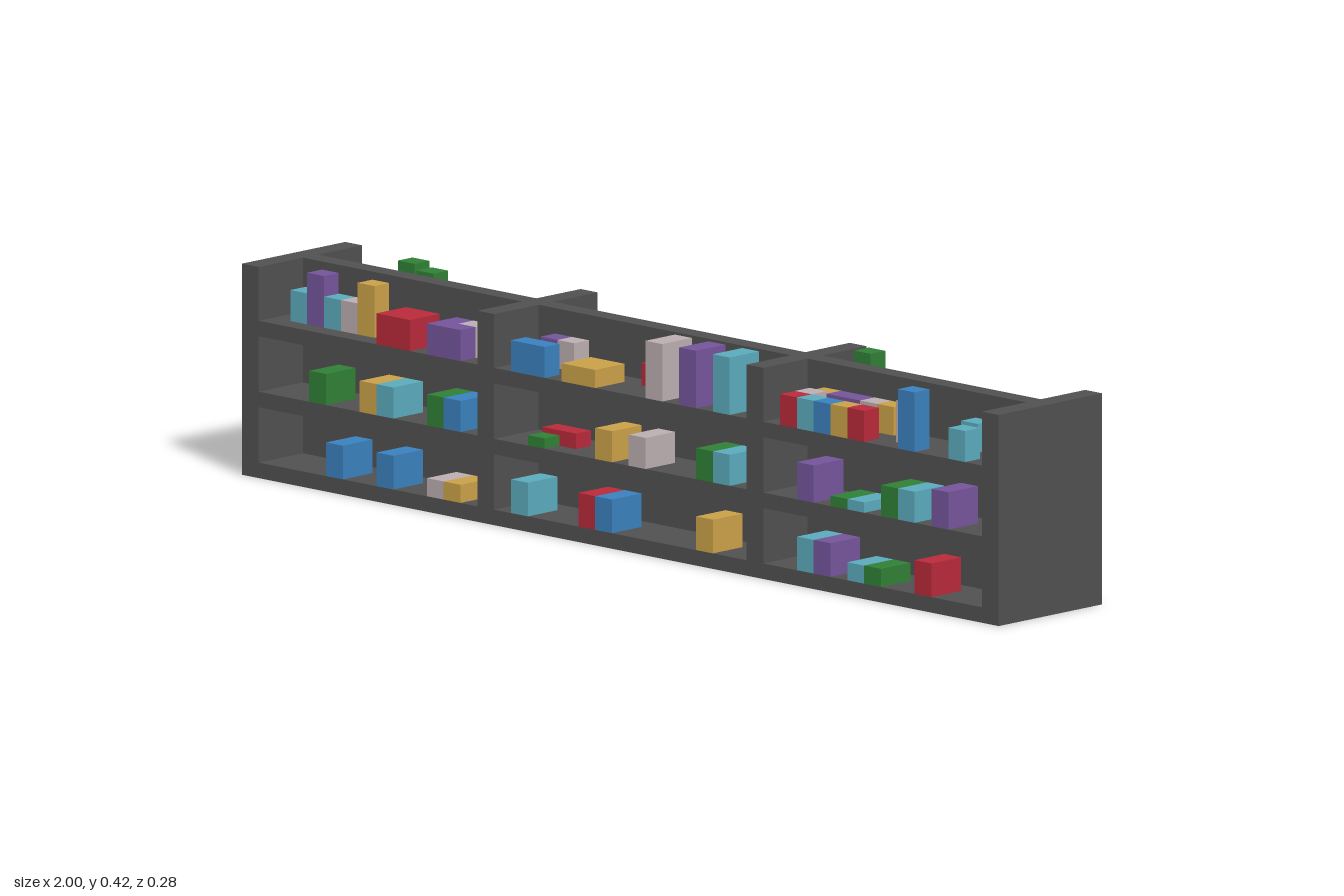
import * as THREE from 'three';

// Grid: 45 columns along x (centred on 0), 7 rows along z (row 0 is the spine wall)
const COL = 2 / 45, ROW = 0.04, HEIGHT = 0.408, BOARD = 0.03, LEVEL = 0.137;
const FRONT = 1, BACK = -1;

const mat = (color) => new THREE.MeshStandardMaterial({ color });
const frameMat = mat(0x505050);
const paint = {
  red: mat(0xb82a3a), blue: mat(0x3a80bd), teal: mat(0x5aaabb), gold: mat(0xc9a048),
  green: mat(0x2f7f35), purple: mat(0x74549a), white: mat(0xbaadb0),
};

function addBox(parent, name, size, x, bottom, z, material) {
  const mesh = new THREE.Mesh(new THREE.BoxGeometry(...size), material);
  mesh.name = name;
  mesh.position.set(x, bottom + size[1] / 2, z);
  parent.add(mesh);
}

// Equal items on one shelf: the columns they fill, by colour
function addItems(parent, side, level, height, items, row = 2, rows = 2) {
  const z = side * (row + (rows - 1) / 2) * ROW;
  for (const [color, columns] of Object.entries(items)) {
    for (const col of columns) {
      addBox(parent, 'shelfItem', [COL, height, rows * ROW], col * COL, level * LEVEL + BOARD, z, paint[color]);
    }
  }
}

function addFrontItems(g) {
  // Bottom shelf
  addItems(g, FRONT, 0, 0.065, { blue: [-17, -14, -1], teal: [-6, 11], red: [-2, 18], gold: [5], purple: [12] });
  addItems(g, FRONT, 0, 0.035, { white: [-11], gold: [-10], teal: [14], green: [15] });
  // Middle shelf
  addItems(g, FRONT, 1, 0.06, {
    green: [-18, -11, 5, 16], gold: [-15, -1], teal: [-14, 6, 17], blue: [-10], white: [1],
  });
  addItems(g, FRONT, 1, 0.072, { purple: [11, 19] });
  addItems(g, FRONT, 1, 0.02, { green: [-5, 13], teal: [14] });
  addItems(g, FRONT, 1, 0.03, { red: [-5, -4] }, 2, 1);
  // Top shelf, two rows deep
  addItems(g, FRONT, 2, 0.06, { red: [-14, -13] });
  addItems(g, FRONT, 2, 0.035, { gold: [-3, -2] });
  addItems(g, FRONT, 2, 0.111, { white: [2], purple: [4], teal: [6] });
  // Top shelf, outer row
  addItems(g, FRONT, 2, 0.06, {
    purple: [-11, -10], blue: [-6, -5, 12], red: [10, 14], teal: [11, 20], gold: [13],
  }, 3, 1);
  addItems(g, FRONT, 2, 0.115, { blue: [17] }, 3, 1);
  // Top shelf, middle row
  addItems(g, FRONT, 2, 0.06, { teal: [-20, -18], white: [-17, -10, 10], purple: [-11] }, 2, 1);
  addItems(g, FRONT, 2, 0.1, { purple: [-19], gold: [-16] }, 2, 1);
  addItems(g, FRONT, 2, 0.08, { white: [16] }, 2, 1);
  // Top shelf, row against the spine
  addItems(g, FRONT, 2, 0.055, {
    purple: [-6, 11, 12], white: [-5, 13], gold: [10, 14], teal: [19],
  }, 1, 1);
  addItems(g, FRONT, 2, 0.043, { red: [0] }, 1, 1);
}

function addBackItems(g) {
  // Bottom shelf
  addItems(g, BACK, 0, 0.06, {
    red: [17, -1, -18], white: [12, -6, -19], teal: [13], gold: [4], purple: [5], green: [-14],
  });
  addItems(g, BACK, 0, 0.09, { white: [2] });
  addItems(g, BACK, 0, 0.03, { purple: [0], green: [-10], gold: [-11] });
  // Middle shelf
  addItems(g, BACK, 1, 0.06, { red: [17, 5], gold: [12, 13, -11], white: [-5], blue: [-14] });
  addItems(g, BACK, 1, 0.03, { blue: [2], gold: [1], teal: [0], white: [-20] });
  addItems(g, BACK, 1, 0.08, { green: [-18] });
  // Top shelf, two rows deep
  addItems(g, BACK, 2, 0.06, { purple: [3], white: [4], blue: [5, 14, 20], red: [16], gold: [18] });
  // Top shelf, outer row
  addItems(g, BACK, 2, 0.1, { green: [-18] }, 3, 1);
  addItems(g, BACK, 2, 0.04, { red: [-11, -10] }, 3, 1);
  // Top shelf, middle row
  addItems(g, BACK, 2, 0.06, { teal: [-14, -10], gold: [-13], purple: [-11], white: [-2], blue: [11] }, 2, 1);
  addItems(g, BACK, 2, 0.08, { red: [-6, -4], gold: [12] }, 2, 1);
  addItems(g, BACK, 2, 0.1, { green: [-16] }, 2, 1);
  addItems(g, BACK, 2, 0.114, { green: [10] }, 2, 1);
  // Top shelf, row against the spine
  addItems(g, BACK, 2, 0.055, {
    teal: [-20, -2, 10, 12], white: [-19], blue: [-14], gold: [-13, 1], purple: [0], green: [11],
  }, 1, 1);
}

export function createModel() {
  const model = new THREE.Group();
  model.name = 'doubleSidedShelf';
  const depth = 7 * ROW;

  // End panels and dividers
  for (const col of [-22, -8, 8, 22]) {
    addBox(model, Math.abs(col) === 22 ? 'endPanel' : 'divider', [COL, HEIGHT, depth], col * COL, 0, 0, frameMat);
  }

  // Boards and spine wall in each bay between the uprights
  for (const [col, cols] of [[-15, 13], [0, 15], [15, 13]]) {
    addBox(model, 'spineWall', [cols * COL, HEIGHT, ROW], col * COL, 0, 0, frameMat);
    for (let level = 0; level < 3; level++) {
      addBox(model, 'shelfBoard', [cols * COL, BOARD, depth], col * COL, level * LEVEL, 0, frameMat);
    }
  }

  // Coloured items on both sides
  const frontItems = new THREE.Group();
  frontItems.name = 'frontItems';
  addFrontItems(frontItems);
  const backItems = new THREE.Group();
  backItems.name = 'backItems';
  addBackItems(backItems);
  model.add(frontItems, backItems);
  return model;
}
